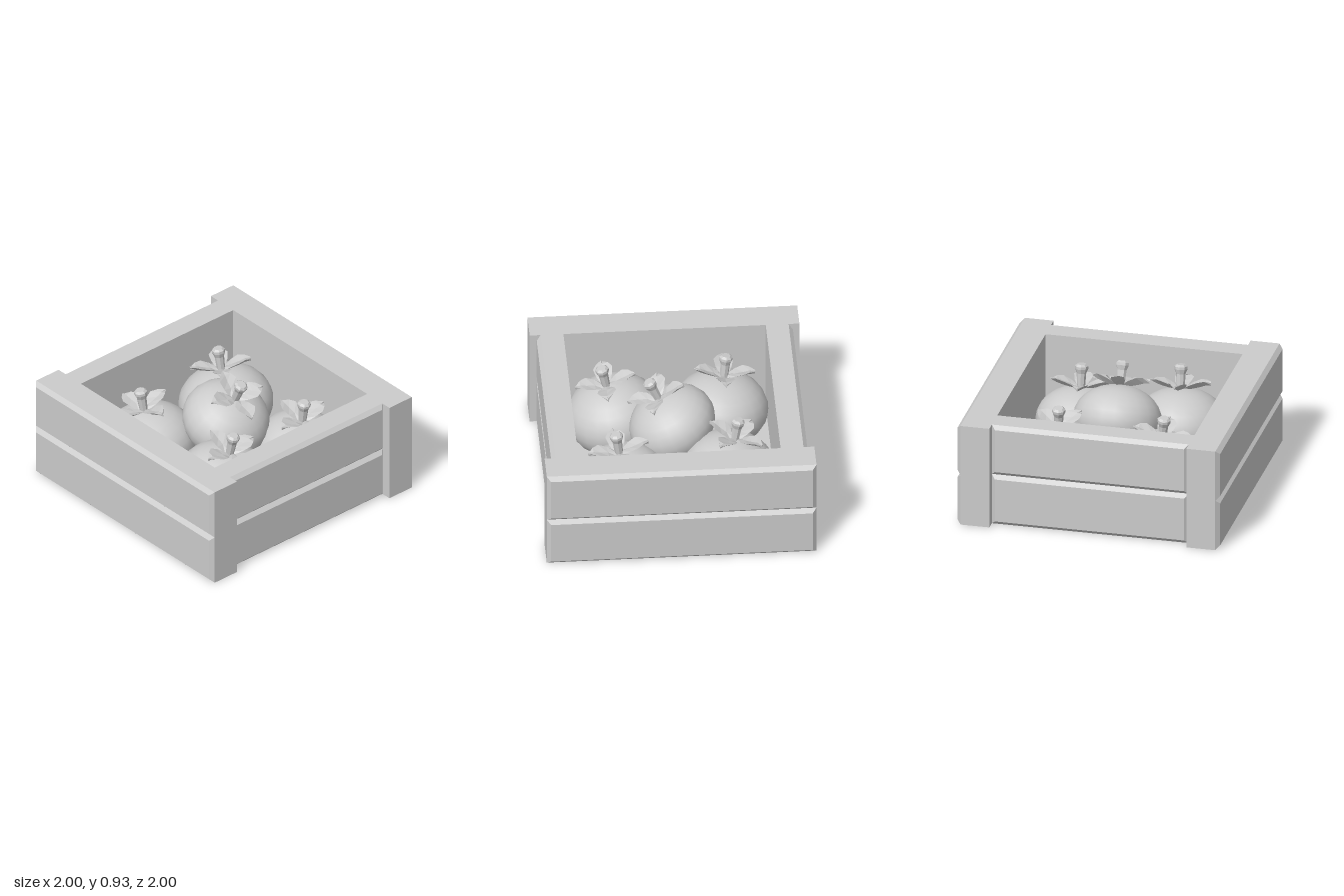
import * as THREE from 'three';

const mat = () => new THREE.MeshStandardMaterial({ color: 0xcccccc });
const flat = () => new THREE.MeshStandardMaterial({ color: 0xcccccc, flatShading: true });
const UP = new THREE.Vector3(0, 1, 0);

function part(name, geometry, material) {
  const mesh = new THREE.Mesh(geometry, material);
  mesh.name = name;
  return mesh;
}

// Plank whose outer (+z) face is chamfered on all four edges; z runs from 0 to depth
function plankGeometry(width, height, depth, bevel = 0.03) {
  const g = new THREE.BoxGeometry(width, height, depth, 1, 1, 2);
  const p = g.attributes.position;
  for (let i = 0; i < p.count; i++) {
    const z = p.getZ(i);
    if (z > 0.001) {
      p.setX(i, p.getX(i) - Math.sign(p.getX(i)) * bevel);
      p.setY(i, p.getY(i) - Math.sign(p.getY(i)) * bevel);
      p.setZ(i, depth);
    } else {
      p.setZ(i, z < -0.001 ? 0 : depth - bevel);
    }
  }
  const out = g.toNonIndexed();
  out.computeVertexNormals();
  return out;
}

// Pointed, cupped leaf along +x, lofted from four-cornered cross-sections
function leafGeometry() {
  // distance from the stem, half width, height, edge lift
  const stations = [
    [0.02, 0.03, 0.0, 0.0],
    [0.08, 0.06, 0.015, 0.02],
    [0.14, 0.072, 0.03, 0.03],
    [0.185, 0.045, 0.045, 0.02],
    [0.228, 0.003, 0.05, 0.0],
  ];
  const pos = [], index = [];
  for (const [x, w, y, lift] of stations) {
    pos.push(x, y + lift, w, x, y + 0.012, 0, x, y + lift, -w, x, y - 0.018, 0);
  }
  for (let s = 0; s < stations.length - 1; s++) {
    for (let k = 0; k < 4; k++) {
      const a = s * 4 + k, b = s * 4 + (k + 1) % 4;
      index.push(a, a + 4, b, b, a + 4, b + 4);
    }
  }
  const e = (stations.length - 1) * 4;
  index.push(0, 1, 2, 0, 2, 3, e, e + 2, e + 1, e, e + 3, e + 2);
  const g = new THREE.BufferGeometry();
  g.setAttribute('position', new THREE.Float32BufferAttribute(pos, 3));
  g.setIndex(index);
  g.computeVertexNormals();
  return g;
}

const stemProfile = [[0, 0], [0.03, 0], [0.036, 0.11], [0.05, 0.145], [0.05, 0.165], [0.034, 0.18], [0, 0.18]]
  .map(([r, y]) => new THREE.Vector2(r, y));

// Squat round fruit with four leaves and a flared stem, leaning towards (leanX, leanZ)
function makeFruit({ at, radius, height, leanX, leanZ, yaw }) {
  const fruit = new THREE.Group();
  fruit.name = 'fruit';
  const body = part('fruitBody', new THREE.SphereGeometry(1, 22, 14), mat());
  body.scale.set(radius, height, radius);
  fruit.add(body);

  const calyx = new THREE.Group();
  calyx.name = 'calyx';
  calyx.position.y = height - 0.005;
  const leaf = leafGeometry();
  for (let i = 0; i < 4; i++) {
    const m = part('leaf', leaf, flat());
    m.material.side = THREE.DoubleSide;
    m.rotation.y = i * Math.PI / 2;
    calyx.add(m);
  }
  calyx.add(part('stem', new THREE.LatheGeometry(stemProfile, 8), flat()));
  fruit.add(calyx);

  const axis = new THREE.Vector3(leanX, 1, leanZ).normalize();
  fruit.quaternion.setFromUnitVectors(UP, axis)
    .multiply(new THREE.Quaternion().setFromAxisAngle(UP, THREE.MathUtils.degToRad(yaw)));
  fruit.position.set(...at);
  return fruit;
}

export function createModel() {
  const model = new THREE.Group();
  model.name = 'fruitCrate';

  // Crate walls: two stacked planks on each of the four sides
  const crate = new THREE.Group();
  crate.name = 'crate';
  const longPlank = plankGeometry(2, 0.4, 0.25);
  const shortPlank = plankGeometry(1.5, 0.4, 0.2);
  const sides = ['front', 'left', 'back', 'right'];
  sides.forEach((side, i) => {
    const wall = new THREE.Group();
    wall.name = side + 'Wall';
    wall.rotation.y = i * Math.PI / 2;
    for (const y of [0.2, 0.6]) {
      const plank = part('plank', i % 2 ? shortPlank : longPlank, mat());
      plank.position.set(0, y, 0.75);
      wall.add(plank);
    }
    crate.add(wall);
  });
  const floor = part('floor', new THREE.BoxGeometry(1.5, 0.05, 1.5), mat());
  floor.position.y = 0.025;
  crate.add(floor);
  model.add(crate);

  // Four fruits in the corners and one resting on top
  const fruits = [
    { at: [-0.4, 0.33, -0.37], radius: 0.355, height: 0.28, leanX: -0.15, leanZ: 0.04, yaw: 55 },
    { at: [0.39, 0.31, -0.4], radius: 0.33, height: 0.25, leanX: 0.13, leanZ: 0, yaw: 6 },
    { at: [-0.39, 0.33, 0.395], radius: 0.355, height: 0.27, leanX: -0.1, leanZ: 0.11, yaw: 0 },
    { at: [0.405, 0.34, 0.36], radius: 0.355, height: 0.28, leanX: 0.21, leanZ: -0.04, yaw: 2 },
    { at: [0, 0.525, -0.02], radius: 0.33, height: 0.255, leanX: 0.45, leanZ: 0, yaw: -8 },
  ];
  for (const f of fruits) model.add(makeFruit(f));
  return model;
}
